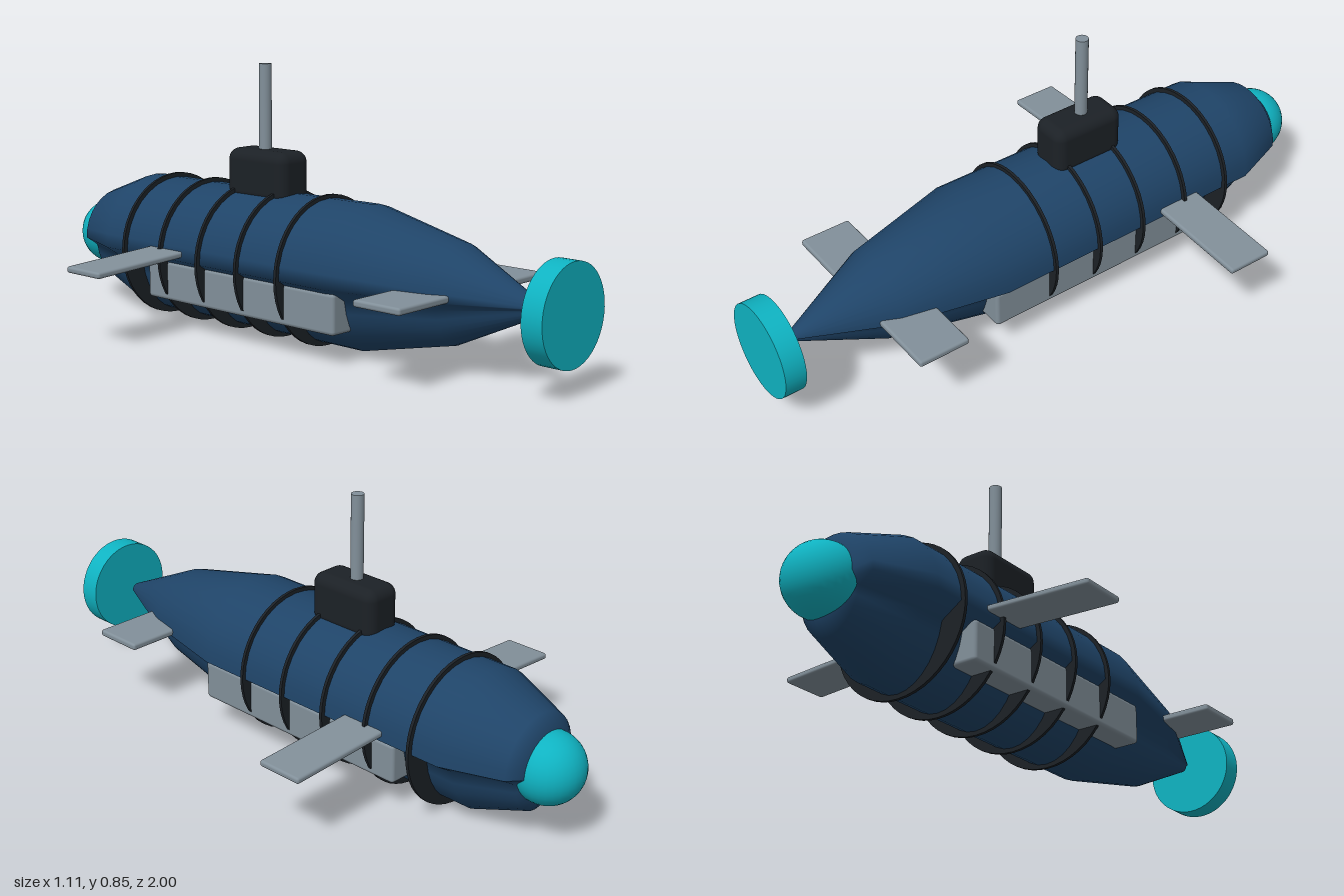
import * as THREE from 'three';
import { RoundedBoxGeometry } from 'three/addons/geometries/RoundedBoxGeometry.js';

const AXIS_Y = 0.235; // height of the hull's long axis

const material = (color) => new THREE.MeshStandardMaterial({ color });
const navy = material(0x1f4468);
navy.side = THREE.DoubleSide;
const black = material(0x1c2126);
const grey = material(0x82909a);
const cyan = material(0x0fb3c2);

export function createModel() {
  const model = new THREE.Group();
  model.name = 'submarine';

  const add = (name, geometry, mat, x, y, z) => {
    const mesh = new THREE.Mesh(geometry, mat);
    mesh.name = name;
    mesh.position.set(x, y, z);
    model.add(mesh);
    return mesh;
  };

  // Hull: turned profile (radius, z), with its lower half pinched inwards
  const profile = [
    [0, -0.89], [0.11, -0.89], [0.152, -0.855], [0.22, -0.67],
    [0.223, 0.28], [0.15, 0.61], [0.02, 0.89], [0, 0.89],
  ].map(([r, z]) => new THREE.Vector2(r, z));
  const hull = new THREE.LatheGeometry(profile, 32, Math.PI / 2);
  hull.rotateX(Math.PI / 2);
  const pos = hull.attributes.position;
  for (let i = 0; i < pos.count; i++) {
    if (pos.getY(i) < -1e-4) pos.setX(i, pos.getX(i) * 0.71);
  }
  hull.computeVertexNormals();
  add('hull', hull, navy, 0, AXIS_Y, 0);

  // Thin round frames along the hull
  const frame = new THREE.CylinderGeometry(0.234, 0.234, 0.01, 48).rotateX(Math.PI / 2);
  for (let i = 0; i < 5; i++) add('hullFrame', frame, black, 0, AXIS_Y, 0.108 - i * 0.17);

  // Domed window and propeller disc at the two ends
  add('domeWindow', new THREE.SphereGeometry(0.11, 32, 20), cyan, 0, AXIS_Y, -0.89);
  const disc = new THREE.CylinderGeometry(0.15, 0.15, 0.068, 48).rotateX(Math.PI / 2);
  add('propellerDisc', disc, cyan, 0, AXIS_Y, 0.966);

  // Tower and periscope
  add('tower', new RoundedBoxGeometry(0.13, 0.165, 0.25, 4, 0.035), black, 0, 0.503, -0.146);
  add('periscope', new THREE.CylinderGeometry(0.02, 0.02, 0.3, 20), grey, 0, 0.702, -0.155);

  // Paired side tanks and fins
  const tank = new RoundedBoxGeometry(0.09, 0.126, 0.8, 2, 0.012);
  const sternFin = new RoundedBoxGeometry(0.28, 0.022, 0.168, 2, 0.008);
  const divingPlane = new RoundedBoxGeometry(0.42, 0.02, 0.152, 2, 0.008);
  for (const s of [1, -1]) {
    const side = s > 0 ? 'left' : 'right';
    add(side + 'Tank', tank, grey, s * 0.155, 0.158, -0.09);
    add(side + 'SternFin', sternFin, grey, s * 0.195, 0.248, 0.585);
    add(side + 'DivingPlane', divingPlane, grey, s * 0.346, 0.25, -0.386).rotation.z = -s * 0.05;
  }
  return model;
}
